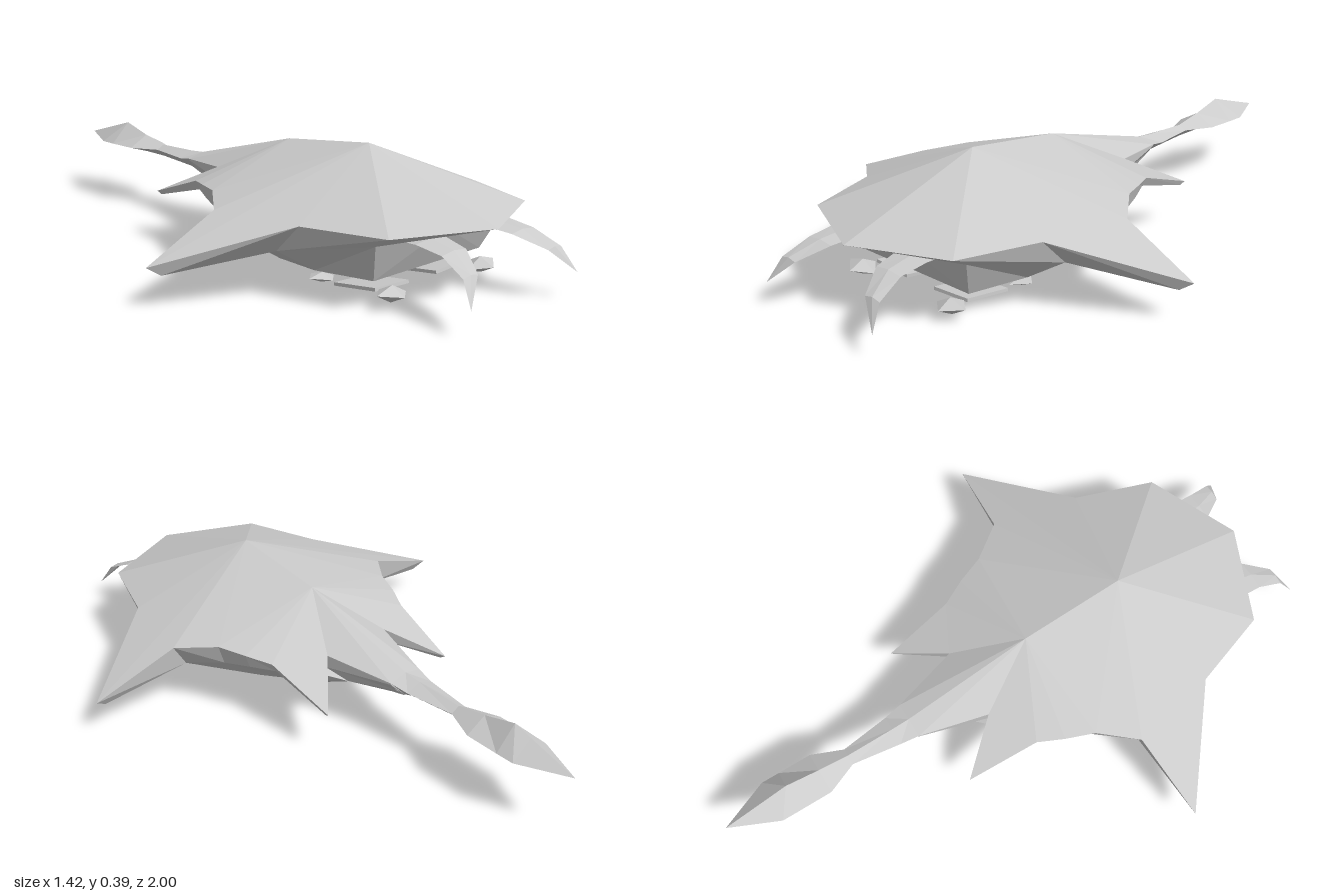
import * as THREE from 'three';

const material = new THREE.MeshStandardMaterial({ color: 0xcccccc, flatShading: true, side: THREE.DoubleSide });

// Collects triangles for the +x half and mirrors each to -x.
function mirroredSurface(name, build) {
  const pos = [];
  const tri = (a, b, c) => {
    pos.push(...a, ...b, ...c);
    for (const p of [a, c, b]) pos.push(-p[0], p[1], p[2]);
  };
  const strip = (upper, lower) => {
    for (let i = 0; i < upper.length - 1; i++) {
      tri(upper[i], lower[i], lower[i + 1]);
      tri(upper[i], lower[i + 1], upper[i + 1]);
    }
  };
  build(tri, strip);
  const geo = new THREE.BufferGeometry();
  geo.setAttribute('position', new THREE.Float32BufferAttribute(pos, 3));
  geo.computeVertexNormals();
  const mesh = new THREE.Mesh(geo, material);
  mesh.name = name;
  return mesh;
}

// Half outlines of the body, running from the nose to the root of the tail
const rim = [
  [0, 0.235, 0.9], [0.295, 0.235, 0.77], [0.38, 0.235, 0.52], [0.71, 0.13, 0.27],
  [0.44, 0.235, 0.235], [0.35, 0.255, 0.12], [0.315, 0.25, 0.03], [0.275, 0.24, -0.05],
  [0.25, 0.16, -0.28], [0.12, 0.245, -0.13], [0.06, 0.225, -0.35],
];
const underRim = [
  [0, 0.2, 0.72], [0.28, 0.2, 0.71], [0.38, 0.145, 0.43], [0.67, 0.103, 0.285],
  [0.39, 0.155, 0.245], [0.33, 0.19, 0.12], [0.3, 0.205, 0.03], [0.26, 0.21, -0.05],
  [0.245, 0.15, -0.265], [0.12, 0.2, -0.12], [0.06, 0.22, -0.35],
];
const wingRoot = [0.37, 0.14, 0.32];
const bellySide = [
  [0, 0.08, 0.66], [0.23, 0.08, 0.66], [0.25, 0.065, 0.45], [0.245, 0.065, 0.3],
  [0.23, 0.08, 0.2], [0.205, 0.1, 0.1], [0.185, 0.12, 0.03], [0.155, 0.135, -0.05],
  [0.12, 0.15, -0.12], [0.08, 0.16, -0.18], [0.035, 0.19, -0.35],
];
const bellyFloor = [
  [0, 0.04, 0.45], [0.12, 0.035, 0.43], [0.13, 0.02, 0.36], [0.13, 0.012, 0.28],
  [0.12, 0.02, 0.2], [0.1, 0.038, 0.12], [0.09, 0.058, 0.05], [0.07, 0.083, -0.04],
  [0.05, 0.115, -0.12], [0.03, 0.14, -0.18], [0, 0.16, -0.35],
];

export function createModel() {
  const model = new THREE.Group();
  model.name = 'rayCreature';

  // Peaked back with a ridge falling to the tail, and a spike behind each flank
  model.add(mirroredSurface('shell', (tri, strip) => {
    const peak = [0, 0.395, 0.42], ridge = [0, 0.355, 0.08], root = [0, 0.24, -0.35];
    for (let i = 0; i < 7; i++) tri(i < 5 ? peak : ridge, rim[i], rim[i + 1]);
    tri(peak, rim[5], ridge);
    tri(ridge, rim[7], rim[9]);
    tri(rim[7], rim[8], rim[9]);
    tri(ridge, rim[9], rim[10]);
    tri(ridge, rim[10], root);
    strip(rim, underRim);
  }));

  // Flat undersides of the wings and rear spikes
  model.add(mirroredSurface('wingUnderside', (tri) => {
    tri(underRim[2], wingRoot, underRim[3]);
    tri(underRim[3], wingRoot, underRim[4]);
    tri(underRim[7], underRim[9], underRim[8]);
  }));

  // Face, flanks and rounded belly
  model.add(mirroredSurface('belly', (tri, strip) => {
    const bodyEdge = underRim.slice();
    bodyEdge[3] = wingRoot;
    bodyEdge[8] = [0.19, 0.205, -0.085];
    strip(bodyEdge, bellySide);
    strip(bellySide, bellyFloor);
    strip(bellyFloor, bellyFloor.map(([, y, z]) => [0, y - 0.004, z]));
  }));

  // Tail with a leaf-shaped end: z, half width, top, side and bottom heights
  const tail = [
    [-0.35, 0.06, 0.24, 0.225, 0.16], [-0.41, 0.05, 0.235, 0.215, 0.18],
    [-0.57, 0.028, 0.23, 0.215, 0.19], [-0.67, 0.07, 0.25, 0.212, 0.19],
    [-0.78, 0.07, 0.28, 0.21, 0.188], [-0.84, 0.07, 0.262, 0.21, 0.193],
    [-1, 0, 0.215, 0.215, 0.215],
  ];
  model.add(mirroredSurface('tail', (tri, strip) => {
    const side = tail.map(([z, w, , y]) => [w, y, z]);
    strip(tail.map(([z, , y]) => [0, y, z]), side);
    strip(side, tail.map(([z, , , , y]) => [0, y, z]));
  }));

  // Curved tusks from tip to root: outer x, inner x, y, z, half thickness
  const tusk = [
    [0.235, 0.235, 0.085, 1, 0], [0.215, 0.155, 0.155, 0.955, 0.006],
    [0.2, 0.1, 0.194, 0.87, 0.006], [0.2, 0.08, 0.205, 0.78, 0.006], [0.19, 0.08, 0.198, 0.7, 0.006],
  ];
  model.add(mirroredSurface('tusks', (tri, strip) => {
    const outer = tusk.map(([o, , y, z]) => [o, y, z]);
    const inner = tusk.map(([, n, y, z]) => [n, y, z]);
    const [top, bottom] = [1, -1].map((s) => tusk.map(([o, n, y, z, t]) => [(o + n) / 2, y + s * t, z]));
    strip(top, outer);
    strip(outer, bottom);
    strip(bottom, inner);
    strip(inner, top);
  }));

  // Loose claws and foot pads beneath the body
  const claw = new THREE.OctahedronGeometry(1);
  const plate = new THREE.BoxGeometry(1, 1, 1);
  const feet = [
    ['claw', claw, [0.195, 0.045, 0.695], [0.06, 0.025, 0.048], 0, 0.1],
    ['frontPad', plate, [0.13, 0.028, 0.56], [0.14, 0.01, 0.16], -0.14, 0.05],
    ['rearPad', claw, [0.18, 0.02, 0.41], [0.05, 0.015, 0.045], 0, 0.1],
  ];
  for (const [name, geometry, [x, y, z], size, pitch, roll] of feet) {
    for (const s of [1, -1]) {
      const foot = new THREE.Mesh(geometry, material);
      foot.name = name;
      foot.position.set(s * x, y, z);
      foot.scale.set(...size);
      foot.rotation.set(pitch, 0, s * roll);
      model.add(foot);
    }
  }

  // Four-sided ring on the belly
  const ring = new THREE.Mesh(new THREE.TorusGeometry(0.08, 0.012, 4, 4).rotateZ(Math.PI / 4), material);
  ring.name = 'bellyRing';
  ring.scale.set(0.9, 1.15, 0.8);
  ring.rotation.x = Math.PI / 2 + 0.2;
  ring.position.set(0, 0.03, 0.13);
  model.add(ring);

  return model;
}
